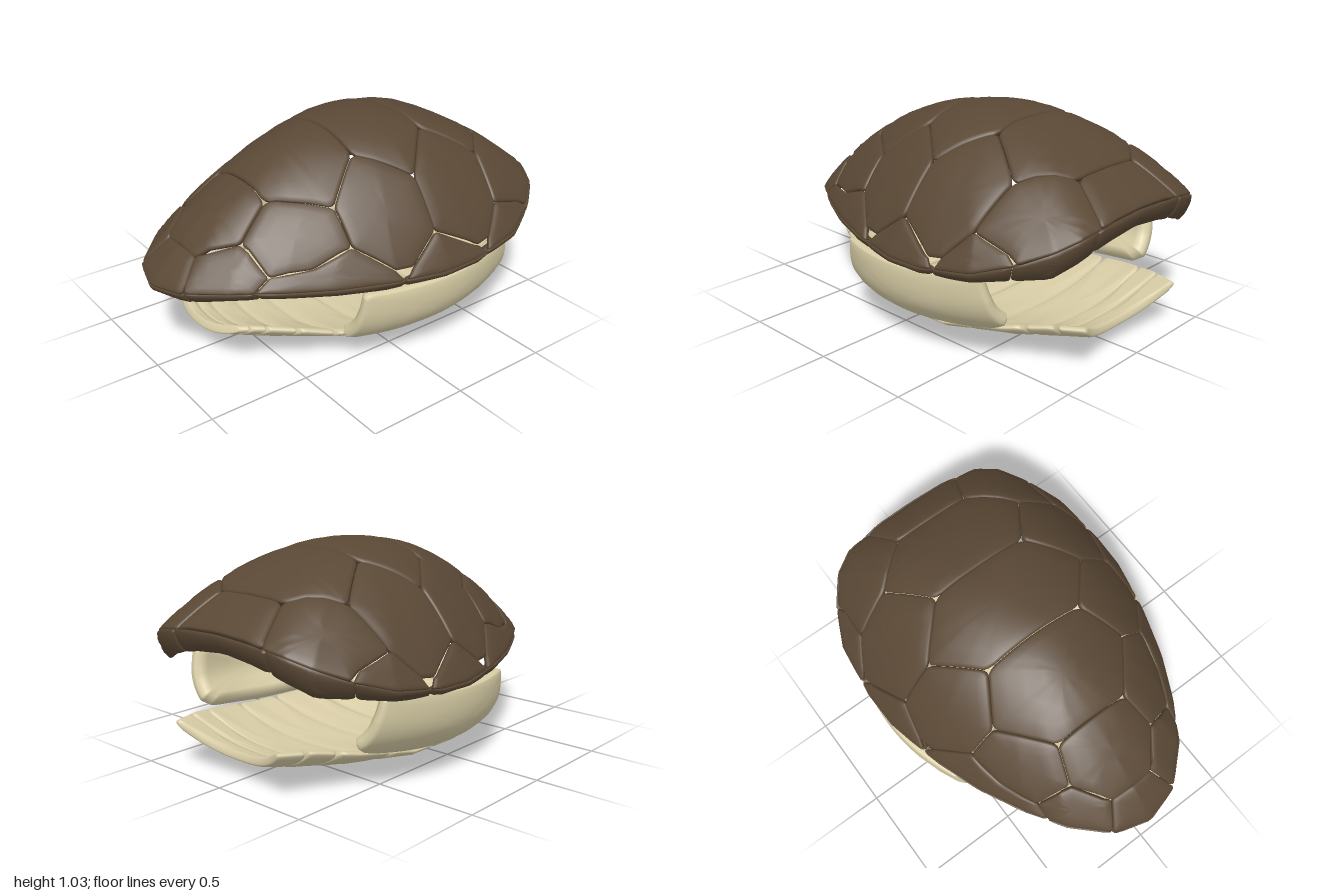
import * as THREE from 'three';
import { mergeVertices } from 'three/addons/utils/BufferGeometryUtils.js';

const brown = new THREE.MeshStandardMaterial({ color: 0x5a4835 });
const tan = new THREE.MeshStandardMaterial({ color: 0xd8cda6 });
const lerp = THREE.MathUtils.lerp;
const CZ = -0.15, APEX = 1.026;
const INSIDE = new THREE.Vector3(0, 0.55, CZ);

// Half outline of the shell seen from above, from the front tip to the rear: x, z, rim height, lip height
const RIM = [
  [0, 1, 0.44, 0.385], [0.18, 0.95, 0.46, 0.39], [0.35, 0.79, 0.48, 0.425], [0.47, 0.6, 0.475, 0.425],
  [0.58, 0.38, 0.465, 0.415], [0.67, 0.12, 0.455, 0.4], [0.73, -0.15, 0.45, 0.4], [0.735, -0.35, 0.46, 0.41],
  [0.7, -0.62, 0.5, 0.44], [0.61, -0.8, 0.56, 0.47], [0.51, -0.92, 0.62, 0.48], [0.4, -0.975, 0.66, 0.53],
  [0.2, -0.995, 0.69, 0.58], [0, -0.995, 0.7, 0.6],
];

// Rim data at parameter t, mirrored for t below 0 and above 13
function rimAt(t) {
  let s = t < 0 ? -1 : 1, u = Math.abs(t);
  if (u > 13) { u = 26 - u; s = -s; }
  const i = Math.min(12, Math.floor(u)), f = u - i;
  const [x, z, top, low] = RIM[i].map((v, k) => lerp(v, RIM[i + 1][k], f));
  return { x: x * s, z: z - CZ, top, low };
}

// Shell surface: r = 0 apex, 1 rim, 1.2 lower edge of the lip; the flanks are fuller than the ends
function shell(t, r) {
  const o = rimAt(t);
  if (r <= 1) {
    const power = 2.05 + 0.38 * o.x * o.x / (o.x * o.x + o.z * o.z);
    return new THREE.Vector3(o.x * r, o.top + (APEX - o.top) * (1 - r ** power), CZ + o.z * r);
  }
  const k = (r - 1) / 0.2, q = 1 - 0.06 * k * k;
  return new THREE.Vector3(o.x * q, lerp(o.top, o.low, k), CZ + o.z * q);
}

// The same surface addressed by plan position
function dome(x, z) {
  const X = Math.abs(x), Z = z - CZ, s = x < 0 ? -1 : 1;
  if (X + Math.abs(Z) < 1e-5) return shell(0, 0);
  for (let i = 0; i < 13; i++) {
    const a = rimAt(i), b = rimAt(i + 1);
    const ca = a.z * X - a.x * Z, cb = Z * b.x - X * b.z;
    if (ca >= -1e-9 && cb >= -1e-9) {
      const t = i + ca / (ca + cb), o = rimAt(t);
      return shell(s * t, Math.hypot(X, Z) / Math.hypot(o.x, o.z));
    }
  }
}

// Underside surface: u = -1..1 across, z along; rows of z, half width, height at the middle, rise at the ends
const BELLY = [[0.8, 0.28, 0.16, 0.06], [0.68, 0.33, 0.11, 0.1], [0.5, 0.41, 0.055, 0.125], [0.3, 0.49, 0.02, 0.115],
  [0, 0.555, 0, 0.09], [-0.3, 0.56, 0, 0.1], [-0.57, 0.5, 0.022, 0.13], [-0.75, 0.42, 0.055, 0.14], [-0.9, 0.34, 0.095, 0.115]];
function belly(u, z) {
  let i = 0;
  while (i < BELLY.length - 2 && z < BELLY[i + 1][0]) i++;
  const f = (z - BELLY[i][0]) / (BELLY[i + 1][0] - BELLY[i][0]);
  const [, w, low, rise] = BELLY[i].map((v, k) => lerp(v, BELLY[i + 1][k], f));
  // The ends of the strips sweep back towards the front and rear
  return new THREE.Vector3(u * w, low + 0.008 + rise * Math.abs(u) ** 2.3, z - 0.11 * z * z * u * u);
}

// Side bridge surface: v = 0 top, 1 bottom
function bridge(z, v) {
  const q = ((z + 0.2) / 0.48) ** 2;
  const top = 0.418 - 0.055 * z, bottom = 0.115 + 0.14 * (z - 0.05) ** 2;
  return new THREE.Vector3(lerp(0.735 - 0.12 * q, 0.57 - 0.08 * q, Math.max(0, v) ** 3.3), lerp(top, bottom, v), z);
}

// A closed, round-edged plate: a polygon in a surface's own coordinates, laid on that surface
function plate(corners, map, thick, side = 1) {
  const n = corners.length, SEG = 9, outline = [];
  const c = [0, 1].map(k => corners.reduce((s, p) => s + p[k], 0) / n);
  const mix = (a, b, f) => [lerp(a[0], b[0], f), lerp(a[1], b[1], f)];
  corners.forEach((p, i) => {
    const q = corners[(i + 1) % n], prev = corners[(i + n - 1) % n];
    outline.push(mix(mix(prev, p, 0.95), mix(p, q, 0.05), 0.5));
    for (let k = 0; k <= SEG; k++) outline.push(mix(p, q, lerp(0.07, 0.93, k / SEG)));
  });
  const profile = [[0, -thick], [0.5, -thick], [0.9, -thick], [0.985, -thick * 0.8], [0.997, -thick * 0.4],
    [0.985, -0.006], [0.94, 0], [0.75, 0.003], [0.5, 0.004], [0.25, 0.004], [0, 0.004]];
  const pos = [], index = [], m = outline.length, e = 0.01;
  for (const [r, h] of profile) for (const o of outline) {
    const [a, b] = mix(c, o, r), p = map(a, b);
    const da = map(a + e, b).sub(map(a - e, b)), db = map(a, b + e).sub(map(a, b - e));
    const nrm = da.cross(db).normalize();
    if (nrm.dot(p.clone().sub(INSIDE)) < 0) nrm.negate();
    p.addScaledVector(nrm, h);
    pos.push(p.x * side, p.y, p.z);
  }
  for (let j = 0; j < profile.length - 1; j++) for (let i = 0; i < m; i++) {
    const a = j * m + i, b = j * m + (i + 1) % m;
    index.push(a, b, b + m, a, b + m, a + m);
  }
  // Turn all faces outward
  const middle = map(...c);
  middle.x *= side;
  const P = i => new THREE.Vector3().fromArray(pos, i * 3).sub(middle);
  let volume = 0;
  for (let i = 0; i < index.length; i += 3) volume += P(index[i]).dot(P(index[i + 1]).cross(P(index[i + 2])));
  if (volume < 0) index.reverse();
  let g = new THREE.BufferGeometry();
  g.setAttribute('position', new THREE.Float32BufferAttribute(pos, 3));
  g.setIndex(index);
  g = mergeVertices(g, 1e-5);
  g.computeVertexNormals();
  return g;
}

export function createModel() {
  const model = new THREE.Group();
  model.name = 'turtleShell';
  const group = name => { const g = new THREE.Group(); g.name = name; model.add(g); return g; };
  const add = (parent, name, geo, mat) => {
    const mesh = new THREE.Mesh(geo, mat);
    mesh.name = name;
    parent.add(mesh);
  };
  const both = (parent, name, corners, map, thick, mat) => {
    add(parent, name + 'Left', plate(corners, map, thick, 1), mat);
    add(parent, name + 'Right', plate(corners, map, thick, -1), mat);
  };
  const sym = half => [...half, ...half.map(([x, z]) => [-x, z]).reverse()];
  const e = (t, r) => { const o = rimAt(t); return [o.x * r, CZ + o.z * r]; };

  // Row of large plates along the spine
  const spine = group('spinePlates');
  [
    [[0.2, 0.507], [0.25, 0.67], [0.115, 0.838]],
    [[0.27, 0.063], [0.395, 0.26], [0.2, 0.506]],
    [[0.255, -0.367], [0.465, -0.16], [0.27, 0.062]],
    [[0.2, -0.788], [0.415, -0.605], [0.255, -0.368]],
    [e(11.6, 1), [0.2, -0.789]],
  ].forEach((h, i) => add(spine, 'spinePlate' + (i + 1), plate(sym(h), dome, 0.035), brown));

  // Flank plates on both sides
  const flank = group('flankPlates');
  [
    [[0.25, 0.668], [0.2, 0.506], [0.395, 0.261], e(4.25, 0.87), e(3.5, 0.93), e(2.65, 0.95)],
    [[0.395, 0.259], [0.27, 0.062], [0.465, -0.159], e(6, 0.865), e(5.4, 0.965), e(5.05, 0.965), e(4.25, 0.87)],
    [[0.465, -0.161], [0.255, -0.368], [0.415, -0.604], e(8, 0.87), e(7.4, 0.965), e(7.1, 0.965), e(6, 0.865)],
    [[0.415, -0.606], [0.2, -0.788], e(11.6, 1), e(11, 1), e(10, 1), e(9, 0.995), e(8.8, 0.955), e(8, 0.87)],
  ].forEach((c, i) => both(flank, 'flankPlate' + (i + 1), c, dome, 0.035, brown));

  // Edge plates, in rim coordinates
  const edge = group('edgePlates');
  add(edge, 'frontEdgePlate', plate([[-0.74, 0.88], [0, 0.858], [0.74, 0.88], [1.06, 1], [-1.06, 1]], shell, 0.03), brown);
  [
    [[0.75, 0.88], [1.68, 0.833], [2, 0.862], [2.64, 0.95], [2.45, 1], [1.07, 1]],
    [[2.46, 1], [2.65, 0.95], [3.5, 0.93], [4.25, 0.87], [5.05, 0.965], [5.2, 1]],
    [[5.25, 1], [5.4, 0.965], [6, 0.867], [7.1, 0.965], [7.22, 1]],
    [[7.27, 1], [7.4, 0.965], [8, 0.87], [8.8, 0.955], [8.95, 1]],
  ].forEach((c, i) => both(edge, 'edgePlate' + (i + 1), c, shell, 0.03, brown));

  // Lip folded under the rim
  const lip = group('rimLip');
  const strip = (a, b) => [[a, 1], [b, 1], [b, 1.2], [a, 1.2]];
  add(lip, 'frontLip', plate(strip(-1.08, 1.08), shell, 0.04), brown);
  add(lip, 'rearLip', plate(strip(11.5, 14.5), shell, 0.04), brown);
  const seams = [1.08, 2.45, 5.22, 7.25, 8.9, 11.5];
  for (let i = 0; i < 5; i++) both(lip, 'lip' + (i + 1), strip(seams[i], seams[i + 1]), shell, 0.04, brown);

  // Cross strips of the underside
  const under = group('underside');
  const cuts = [0.79, 0.725, 0.645, 0.495, 0.315, 0.085, -0.16, -0.42, -0.665, -0.78, -0.89];
  for (let i = 0; i < cuts.length - 1; i++) {
    const a = cuts[i] - 0.004, b = cuts[i + 1] + 0.004;
    add(under, 'undersideStrip' + (i + 1), plate([[-1, a], [0, a], [1, a], [1, b], [0, b], [-1, b]], belly, 0.036), tan);
  }

  // Bridges joining the underside to the shell
  const outline = [[0.26, -0.02], [0.28, 0.5], [0.29, 0.92], [0.24, 1], [-0.2, 1.02], [-0.62, 1], [-0.68, 0.9], [-0.66, 0.4], [-0.63, -0.02], [-0.2, 0]];
  both(group('bridges'), 'bridge', outline, bridge, 0.075, tan);
  return model;
}
